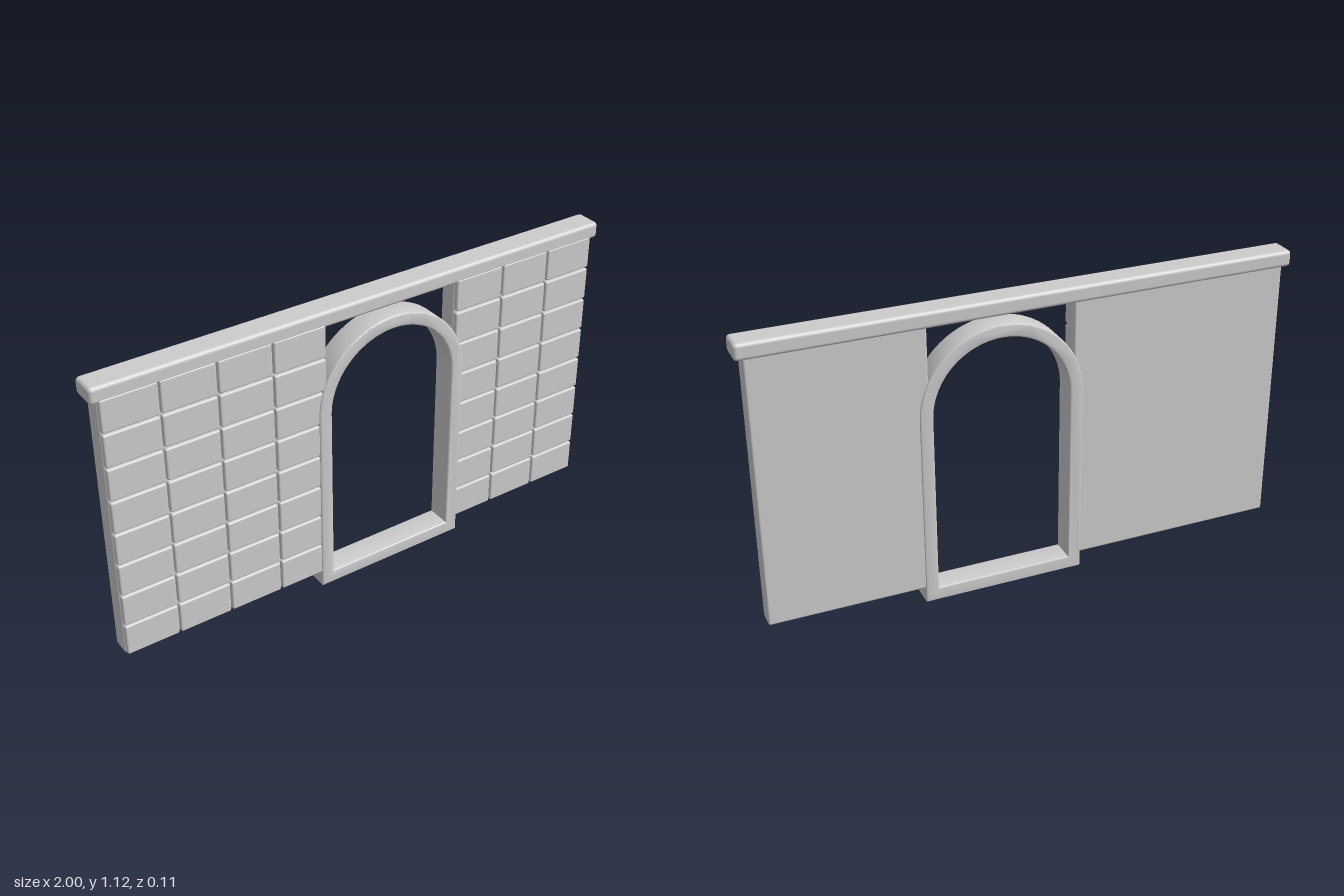
import * as THREE from 'three';
import { RoundedBoxGeometry } from 'three/addons/geometries/RoundedBoxGeometry.js';
import { toCreasedNormals } from 'three/addons/utils/BufferGeometryUtils.js';

const stone = new THREE.MeshStandardMaterial({ color: 0xcccccc });
stone.name = 'grey stone';

// Rounded block given by its two extreme corners
function block(name, [x0, y0, z0], [x1, y1, z1], radius) {
  const geometry = new RoundedBoxGeometry(x1 - x0, y1 - y0, z1 - z0, 3, radius);
  const mesh = new THREE.Mesh(geometry, stone);
  mesh.name = name;
  mesh.position.set((x0 + x1) / 2, (y0 + y1) / 2, (z0 + z1) / 2);
  return mesh;
}

// Round-headed outline, traced counter-clockwise
function archOutline(path, cx, radius, bottom, spring) {
  path.moveTo(cx - radius, bottom);
  path.lineTo(cx + radius, bottom);
  path.lineTo(cx + radius, spring);
  path.absarc(cx, spring, radius, 0, Math.PI, false);
  path.closePath();
  return path;
}

// Wall panel with a grid of cushioned bricks on its front
function wallPanel(name, x0, x1, columns) {
  const group = new THREE.Group();
  group.name = name;
  group.add(block('wallSlab', [x0, 0.056, -0.036], [x1, 1.07, 0.032], 0.008));
  const rows = 8, bottom = 0.056, pitchY = 0.1268, gap = 0.003;
  const pitchX = (x1 - x0) / columns;
  for (let c = 0; c < columns; c++) {
    for (let r = 0; r < rows; r++) {
      const x = x0 + c * pitchX, y = bottom + r * pitchY;
      group.add(block('brick',
        [x + gap, y + gap, 0.026],
        [x + pitchX - gap, y + pitchY - gap, 0.048], 0.007));
    }
  }
  return group;
}

// Arched door surround with a threshold, edges bevelled
function doorFrame() {
  const cx = 0.102, spring = 0.72, bevel = 0.006, back = -0.041, front = 0.054;
  const shape = archOutline(new THREE.Shape(), cx, 0.3, 0, spring);
  shape.holes.push(archOutline(new THREE.Path(), cx, 0.252, 0.05, spring));
  const geometry = new THREE.ExtrudeGeometry(shape, {
    depth: front - back - 2 * bevel,
    bevelEnabled: true,
    bevelThickness: bevel,
    bevelSize: bevel,
    bevelOffset: -bevel,
    bevelSegments: 3,
    curveSegments: 32,
  });
  geometry.translate(0, 0, back + bevel);
  const mesh = new THREE.Mesh(toCreasedNormals(geometry, 0.7), stone);
  mesh.name = 'doorFrame';
  return mesh;
}

export function createModel() {
  const model = new THREE.Group();
  model.name = 'archedWall';
  model.add(wallPanel('rightWall', -0.975, -0.163, 4));
  model.add(wallPanel('leftWall', 0.366, 0.97, 3));
  model.add(doorFrame());
  // Coping along the top
  model.add(block('coping', [-1, 1.055, -0.053], [1, 1.115, 0.046], 0.014));
  return model;
}
